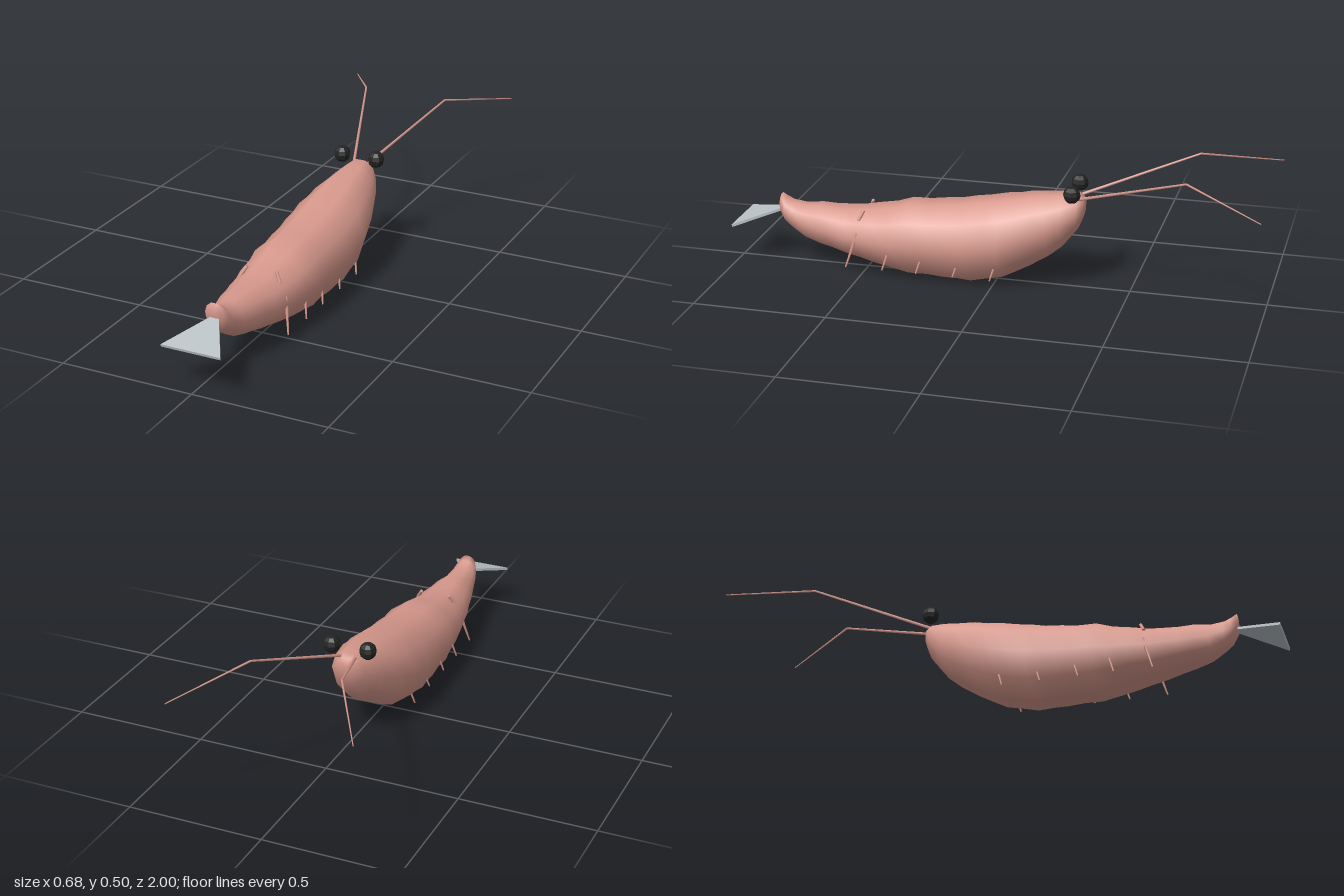
import * as THREE from 'three';

const shell = new THREE.MeshStandardMaterial({ color: 0xd8998d });
shell.name = 'salmon shell';
const eyeBlack = new THREE.MeshStandardMaterial({ color: 0x242424, flatShading: true });
eyeBlack.name = 'eye black';
const finGrey = new THREE.MeshStandardMaterial({ color: 0xb9c1c5, flatShading: true });
finGrey.name = 'fin grey';

const SIDES = 10;

// Body sections from head to tail: z, bottom y, top y, half width
const SECTIONS = [
  [-0.325, 0.285, 0.355, 0.035], [-0.305, 0.235, 0.366, 0.065], [-0.25, 0.165, 0.363, 0.09],
  [-0.2, 0.125, 0.356, 0.106], [-0.13, 0.082, 0.348, 0.128], [-0.08, 0.055, 0.336, 0.135],
  [-0.03, 0.03, 0.329, 0.148], [0.03, 0.017, 0.316, 0.145], [0.09, 0.003, 0.306, 0.148],
  [0.14, 0.006, 0.295, 0.143], [0.2, 0.006, 0.289, 0.144], [0.26, 0.01, 0.281, 0.138],
  [0.33, 0.009, 0.279, 0.142], [0.39, 0.02, 0.26, 0.131], [0.46, 0.034, 0.248, 0.127],
  [0.52, 0.048, 0.237, 0.112], [0.57, 0.058, 0.234, 0.106], [0.63, 0.074, 0.233, 0.09],
  [0.68, 0.085, 0.236, 0.08], [0.74, 0.103, 0.23, 0.063], [0.79, 0.135, 0.238, 0.052],
  [0.815, 0.155, 0.25, 0.045], [0.835, 0.19, 0.264, 0.035],
];

// Ten-sided lofted body with closed ends
function bodyGeometry() {
  const pos = [], index = [];
  for (const [z, low, high, half] of SECTIONS) {
    for (let i = 0; i < SIDES; i++) {
      const a = (i / SIDES) * Math.PI * 2;
      const ry = (high - low) / 2 / Math.cos(Math.PI / SIDES);
      pos.push(half * Math.cos(a), (low + high) / 2 + ry * Math.sin(a), z);
    }
  }
  const rings = SECTIONS.length;
  for (let r = 0; r < rings - 1; r++) {
    for (let i = 0; i < SIDES; i++) {
      const j = (i + 1) % SIDES;
      const a = r * SIDES + i, b = r * SIDES + j;
      index.push(a, b, b + SIDES, a, b + SIDES, a + SIDES);
    }
  }
  const head = pos.length / 3, tail = head + 1, last = (rings - 1) * SIDES;
  pos.push(0, 0.32, -0.328, 0, 0.225, 0.837);
  for (let i = 0; i < SIDES; i++) {
    const j = (i + 1) % SIDES;
    index.push(head, j, i, tail, last + i, last + j);
  }
  const g = new THREE.BufferGeometry();
  g.setAttribute('position', new THREE.Float32BufferAttribute(pos, 3));
  g.setIndex(index);
  g.computeVertexNormals();
  return g;
}

// Thin tapered rod between two points
function rod(name, from, to, r0, r1) {
  const a = new THREE.Vector3(...from), b = new THREE.Vector3(...to);
  const dir = b.clone().sub(a);
  const mesh = new THREE.Mesh(new THREE.CylinderGeometry(r1, r0, dir.length(), 5), shell);
  mesh.position.copy(a).add(b).multiplyScalar(0.5);
  mesh.quaternion.setFromUnitVectors(new THREE.Vector3(0, 1, 0), dir.normalize());
  mesh.name = name;
  return mesh;
}

export function createModel() {
  const model = new THREE.Group();
  model.name = 'shrimp';

  const body = new THREE.Mesh(bodyGeometry(), shell);
  body.name = 'body';
  model.add(body);

  for (const s of [1, -1]) {
    const side = s > 0 ? 'left' : 'right';

    // Eye
    const eye = new THREE.Mesh(new THREE.SphereGeometry(0.032, 8, 6), eyeBlack);
    eye.position.set(s * 0.07, 0.384, -0.293);
    eye.name = side + 'Eye';
    model.add(eye);

    // Two-part antenna
    const antenna = new THREE.Group();
    antenna.name = side + 'Antenna';
    antenna.add(
      rod('antennaBase', [s * 0.025, 0.35, -0.3], [s * 0.168, 0.497, -0.717], 0.006, 0.004),
      rod('antennaTip', [s * 0.168, 0.497, -0.717], [s * 0.338, 0.439, -1], 0.004, 0.002),
    );
    model.add(antenna);

    // Row of legs along the belly
    for (const z of [-0.02, 0.12, 0.26, 0.39, 0.53]) {
      model.add(rod(side + 'Leg', [s * 0.1, 0.17, z - 0.02], [s * 0.127, 0.043, z + 0.018], 0.007, 0.003));
    }

    // Small spine on the back
    model.add(rod(side + 'Spine', [s * 0.078, 0.212, 0.51], [s * 0.057, 0.246, 0.495], 0.007, 0.006));
  }

  // Triangular tail fan, sloping down
  const outline = new THREE.Shape([
    new THREE.Vector2(-0.012, 0), new THREE.Vector2(0.012, 0),
    new THREE.Vector2(0.112, 0.18), new THREE.Vector2(-0.112, 0.18),
  ]);
  const fan = new THREE.ExtrudeGeometry(outline, { depth: 0.01, bevelEnabled: false });
  fan.rotateX(Math.PI / 2 + 0.28);
  fan.translate(0, 0.212, 0.827);
  const tail = new THREE.Mesh(fan, finGrey);
  tail.name = 'tailFan';
  model.add(tail);

  return model;
}
